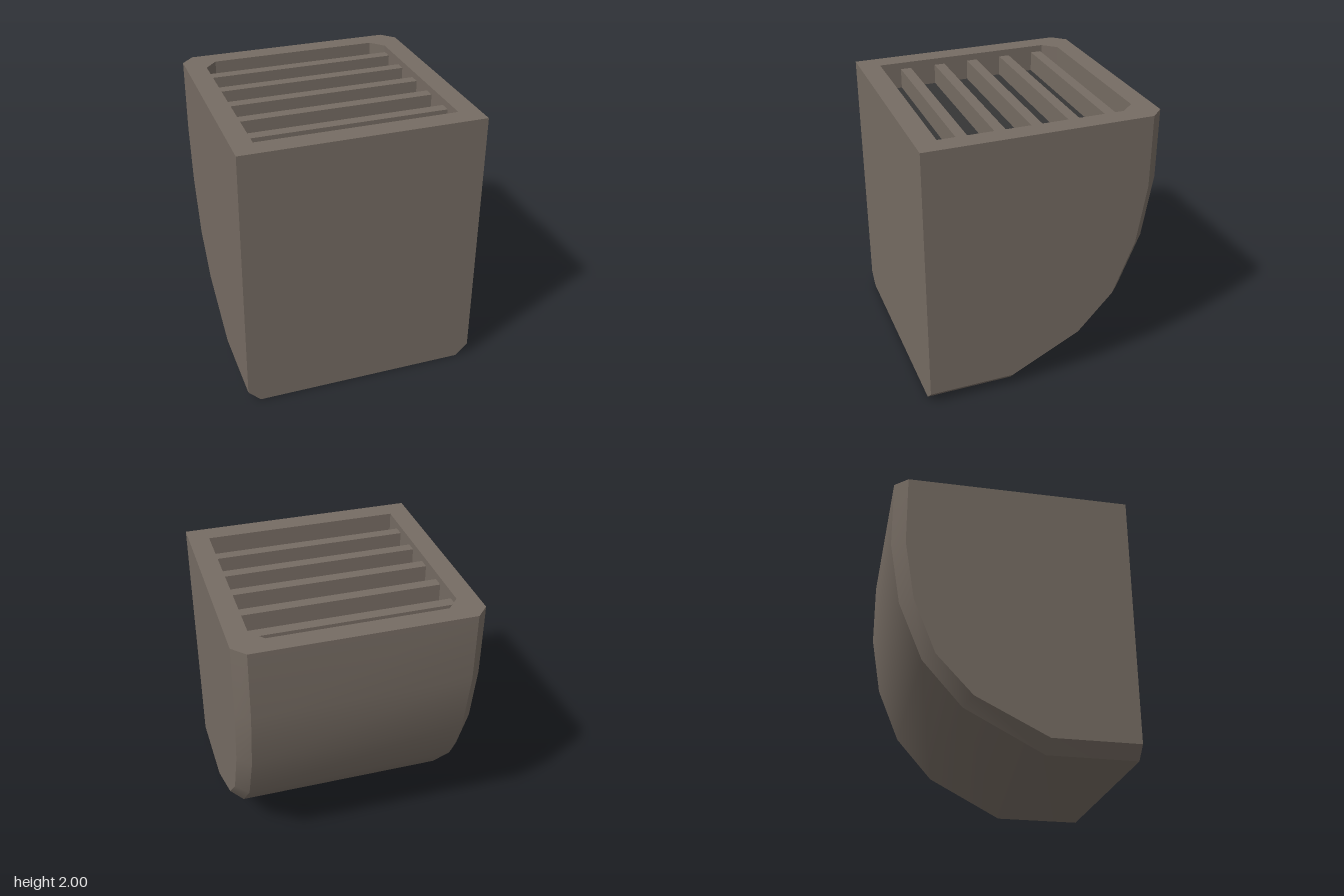
import * as THREE from 'three';
import { toCreasedNormals } from 'three/addons/utils/BufferGeometryUtils.js';

// Sheet through rows of points; it faces row direction x column direction.
function sheet(rows) {
  const n = rows[0].length, index = [];
  for (let i = 0; i < rows.length - 1; i++) {
    for (let j = 0; j < n - 1; j++) {
      const a = i * n + j, c = a + n;
      index.push(a, c, a + 1, a + 1, c, c + 1);
    }
  }
  const geo = new THREE.BufferGeometry();
  geo.setAttribute('position', new THREE.Float32BufferAttribute(rows.flat(2), 3));
  geo.setIndex(index);
  return toCreasedNormals(geo, Math.PI / 6);
}

const outline = (pts) => new THREE.Shape(pts.map(([x, y]) => new THREE.Vector2(x, y)));

export function createModel() {
  const body = new THREE.MeshStandardMaterial({ color: 0x766c63 });
  body.name = 'warm grey body';
  const dark = new THREE.MeshStandardMaterial({ color: 0x353535 });
  dark.name = 'dark interior';

  const group = new THREE.Group();
  group.name = 'slattedHopper';
  const add = (name, geo, mat) => {
    const mesh = new THREE.Mesh(geo, mat);
    mesh.name = name;
    group.add(mesh);
    return mesh;
  };

  const W = 0.87, w = 0.78, front = 0.865, top = 2, floorY = 1.8;

  // Side profiles [z, y]: the middle of the curved shell and its bevelled edge
  const outer = [[front, 0], [0.22, 0], [-0.34, 0.295], [-0.62, 0.615], [-0.79, 1.03], [-0.865, 1.49], [-0.865, top]];
  const inner = [[front, 0.09], [0.235, 0.09], [-0.28, 0.35], [-0.54, 0.63], [-0.7, 1.03], [-0.77, 1.47], [-0.77, top]];

  // Curved underside and back with bevels on both sides
  add('curvedShell', sheet(outer.map(([z, y], i) => {
    const [zi, yi] = inner[i];
    return [[-W, yi, zi], [-w, y, z], [w, y, z], [W, yi, zi]];
  })), body);

  // Flat side walls
  for (const s of [1, -1]) {
    const geo = new THREE.ShapeGeometry(outline([...inner, [front, top]].map(([z, y]) => [-s * z, y])));
    geo.rotateY(s * Math.PI / 2).translate(s * W, 0, 0);
    add(s > 0 ? 'leftWall' : 'rightWall', geo, body);
  }

  // Front wall
  const face = outline([[-w, 0], [w, 0], [W, 0.09], [W, top], [-W, top], [-W, 0.09]]);
  add('frontWall', new THREE.ShapeGeometry(face).translate(0, 0, front), body);

  // Top rim around the opening
  const opening = [[-0.72, 0.71], [0.72, 0.71], [0.72, -0.62], [0.63, -0.72], [-0.63, -0.72], [-0.72, -0.62]];
  const flat = opening.map(([x, z]) => [x, -z]);
  const rim = outline([[-W, -front], [W, -front], [W, 0.77], [w, 0.865], [-w, 0.865], [-W, 0.77]]);
  rim.holes.push(outline(flat));
  add('topRim', new THREE.ShapeGeometry(rim).rotateX(-Math.PI / 2).translate(0, top, 0), body);

  // Recess walls and dark floor
  const loop = [...opening, opening[0]];
  add('recessWalls', sheet([floorY, top].map((y) => loop.map(([x, z]) => [x, y, z]))), body);
  add('recessFloor', new THREE.ShapeGeometry(outline(flat)).rotateX(-Math.PI / 2).translate(0, floorY, 0), dark);

  // Grille slats just below the rim
  const slatTop = 1.95;
  const slat = new THREE.BoxGeometry(1.44, slatTop - floorY, 0.08);
  [-0.57, -0.297, -0.025, 0.24, 0.51].forEach((z, i) => {
    add('slat' + (i + 1), slat, body).position.set(0, (slatTop + floorY) / 2, z);
  });

  return group;
}
